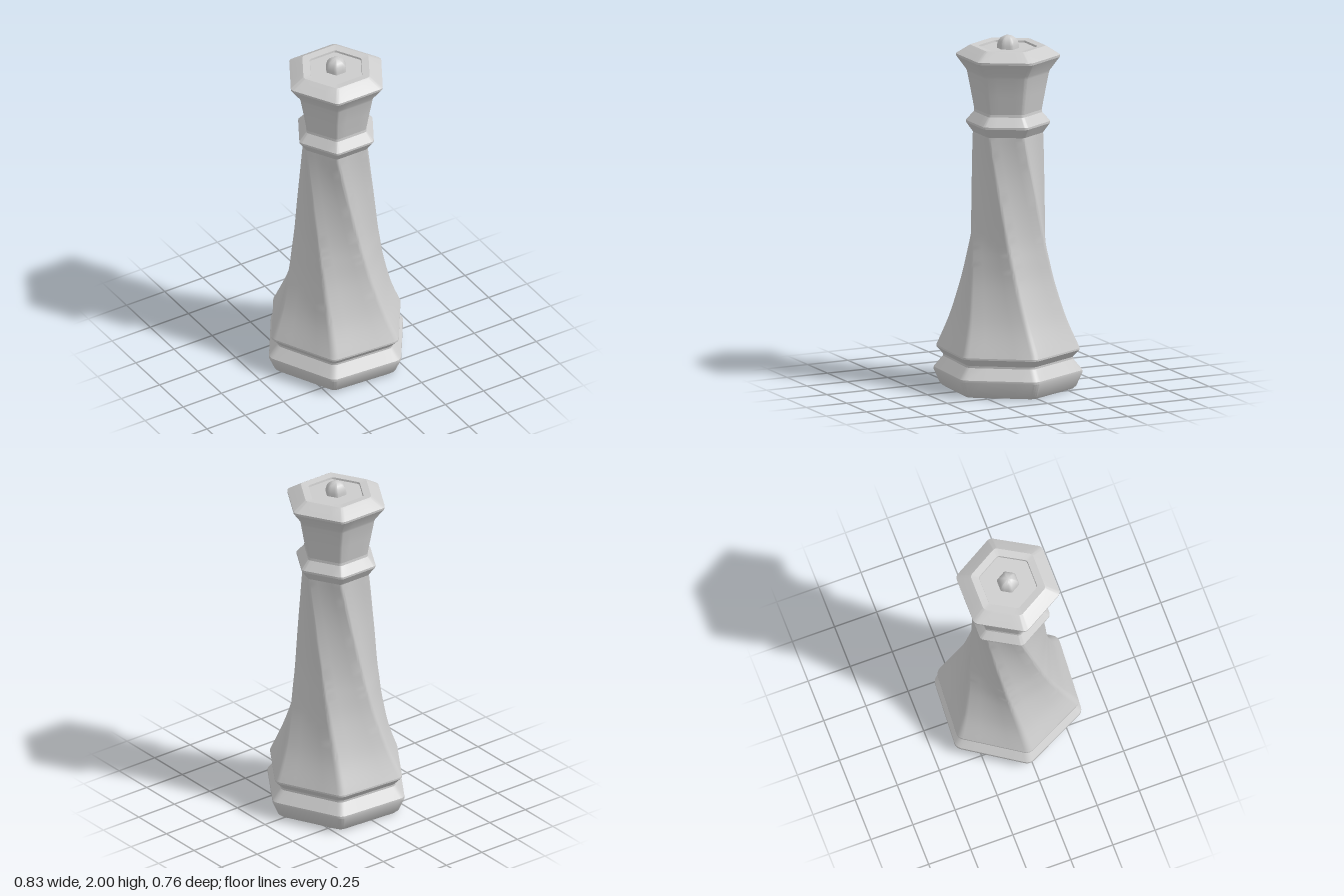
import * as THREE from 'three';
import { toCreasedNormals } from 'three/addons/utils/BufferGeometryUtils.js';

const DEG = Math.PI / 180;

// Hexagon outline with rounded corners; a = distance from centre to a flat side
function hexRing(y, a, turn) {
  const pts = [], fillet = 0.14 * a, arc = 4, flat = 4;
  const centre = (a - fillet) / Math.cos(30 * DEG);
  const corner = (k, step) => {
    const c = k * 60 * DEG + turn;
    const n = c + (step / arc - 0.5) * 60 * DEG;
    return new THREE.Vector3(
      centre * Math.cos(c) + fillet * Math.cos(n), y,
      centre * Math.sin(c) + fillet * Math.sin(n));
  };
  for (let k = 0; k < 6; k++) {
    for (let s = 0; s <= arc; s++) pts.push(corner(k, s));
    const from = corner(k, arc), to = corner(k + 1, 0);
    for (let s = 1; s < flat; s++) pts.push(from.clone().lerp(to, s / flat));
  }
  return pts;
}

// Skin between hexagon rings given as [y, flat distance, turn in radians]
function hexLoft(rows, crease = 0.5) {
  const rings = rows.map(([y, a, turn = 0]) => hexRing(y, a, turn));
  const n = rings[0].length, pos = [];
  const tri = (...v) => v.forEach((p) => pos.push(p.x, p.y, p.z));
  for (let r = 0; r < rings.length - 1; r++) {
    const lo = rings[r], hi = rings[r + 1];
    for (let i = 0; i < n; i++) {
      const j = (i + 1) % n;
      if (rows[r][1] > 0) tri(lo[i], hi[i], lo[j]);
      if (rows[r + 1][1] > 0) tri(lo[j], hi[i], hi[j]);
    }
  }
  const g = new THREE.BufferGeometry();
  g.setAttribute('position', new THREE.Float32BufferAttribute(pos, 3));
  g.computeVertexNormals();
  return toCreasedNormals(g, crease);
}

export function createModel() {
  const group = new THREE.Group();
  const stone = new THREE.MeshStandardMaterial({ color: 0xcccccc });
  stone.name = 'light grey';
  const add = (name, geometry) => {
    const mesh = new THREE.Mesh(geometry, stone);
    mesh.name = name;
    group.add(mesh);
  };

  // Grooved foot, turned slightly
  const footTurn = 3.5 * DEG;
  add('base', hexLoft([
    [0, 0], [0, 0.322], [0.015, 0.338], [0.092, 0.368], [0.106, 0.367],
    [0.168, 0.321], [0.18, 0.321], [0.22, 0.354], [0.23, 0.354],
  ].map(([y, a]) => [y, a, footTurn])));

  // Tapering shaft that twists nearly one sixth of a turn
  const taper = new THREE.SplineCurve([
    [0.23, 0.354], [0.4, 0.292], [0.6, 0.243], [0.75, 0.219],
    [0.9, 0.201], [1.2, 0.181], [1.45, 0.173],
  ].map(([y, a]) => new THREE.Vector2(y, a)));
  const shaft = [];
  for (let i = 0; i <= 36; i++) {
    const p = taper.getPoint(i / 36);
    const t = (p.x - 0.23) / 1.22;
    shaft.push([p.x, p.y, footTurn + (60 * DEG - footTurn) * Math.pow(t, 1.35)]);
  }
  add('twistedShaft', hexLoft(shaft));

  // Pointed neck ring
  add('collar', hexLoft([
    [1.45, 0.173], [1.503, 0.207], [1.515, 0.207], [1.565, 0.168], [1.58, 0.166],
  ]));

  // Flared head with a shallow recess on top
  add('crown', hexLoft([
    [1.58, 0.166], [1.69, 0.184], [1.79, 0.201], [1.805, 0.206],
    [1.88, 0.255], [1.893, 0.256], [1.937, 0.194], [1.943, 0.184],
    [1.938, 0.144], [1.927, 0.142], [1.927, 0],
  ]));

  // Small faceted knob
  add('finial', hexLoft([
    [1.92, 0.055], [1.945, 0.054], [1.968, 0.048], [1.985, 0.037], [1.996, 0.021], [2, 0],
  ], 0.7));

  return group;
}
